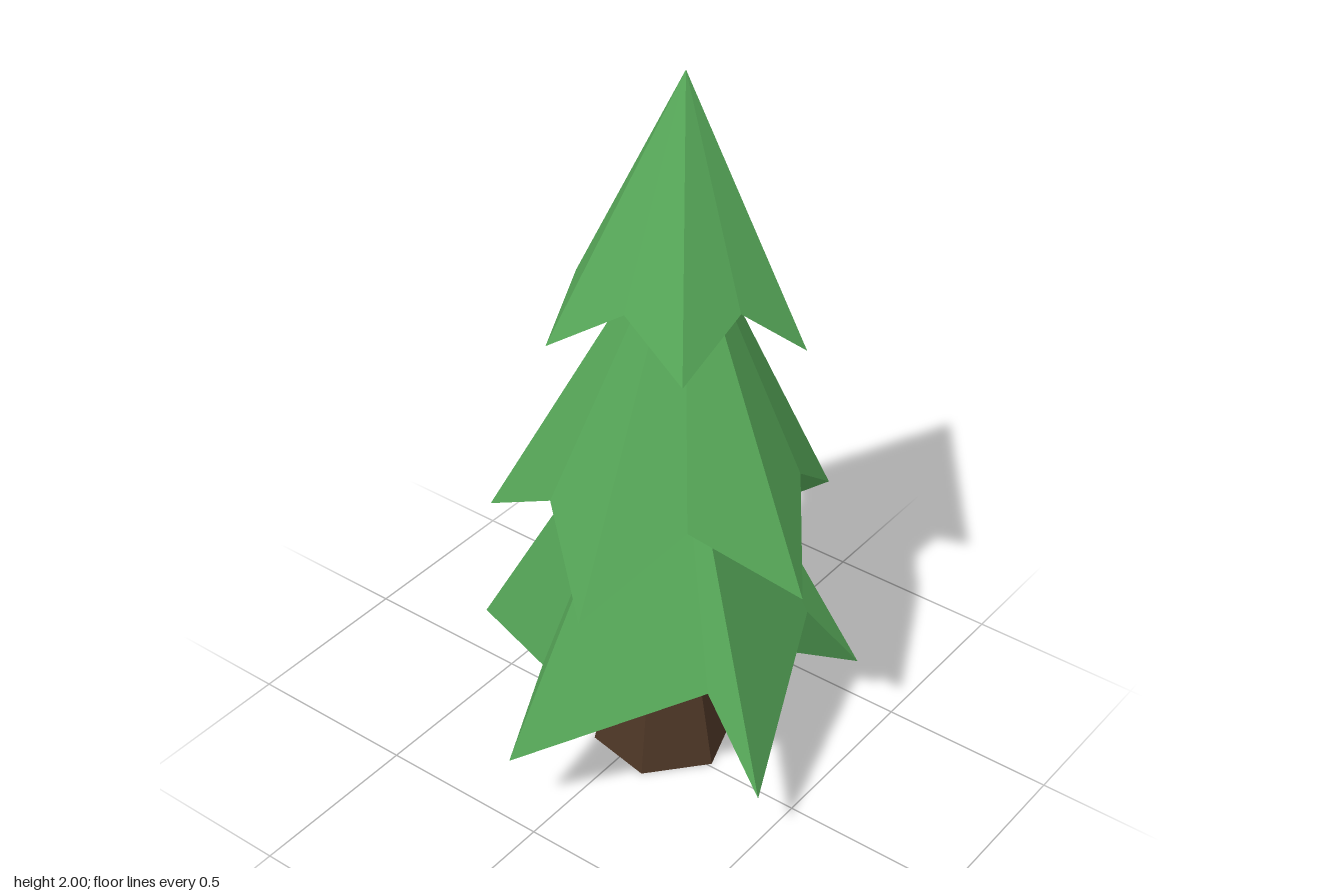
import * as THREE from 'three';

const green = new THREE.MeshStandardMaterial({ color: 0x55a557, flatShading: true });
const brown = new THREE.MeshStandardMaterial({ color: 0x4d3626, flatShading: true });

// Underside patterns over a rim of ten corners (even = tip, odd = notch)
const fanned = [[1, 2, 3], [3, 4, 5], [5, 6, 7], [7, 8, 9], [0, 1, 3], [0, 3, 5], [0, 5, 7], [0, 7, 9]];
const split = [[1, 2, 3], [0, 1, 3], [0, 3, 4], [0, 4, 9], [5, 6, 7], [7, 8, 9], [4, 5, 7], [4, 7, 9]];

// Each tier: an apex over a rim that alternates tips and notches, counterclockwise from above
const tiers = [
  {
    name: 'lowerFoliage', apex: [0.09, 1.28, 0.02], underside: split,
    rim: [
      [0.445, 0.18, 0.41], [0.43, 0.42, -0.1],
      [0.52, 0.24, -0.25], [0.05, 0.44, -0.375],
      [-0.065, 0.23, -0.53], [-0.325, 0.42, -0.1],
      [-0.525, 0.245, -0.055], [-0.18, 0.45, 0.34],
      [-0.21, 0.21, 0.53], [0.28, 0.43, 0.34],
    ],
  },
  {
    name: 'middleFoliage', apex: [0.13, 1.67, 0.02], underside: fanned,
    rim: [
      [0.505, 0.7, 0.245], [0.41, 0.89, -0.045],
      [0.41, 0.67, -0.325], [0.12, 0.9, -0.33],
      [-0.17, 0.73, -0.4], [-0.24, 0.9, -0.13],
      [-0.425, 0.73, 0.11], [-0.17, 0.93, 0.26],
      [-0.01, 0.74, 0.51], [0.23, 0.92, 0.33],
    ],
  },
  {
    name: 'topFoliage', apex: [0.175, 2, -0.015], underside: fanned,
    rim: [
      [0.435, 1.27, -0.01], [0.28, 1.43, -0.14],
      [0.17, 1.32, -0.315], [-0.02, 1.46, -0.21],
      [-0.2, 1.34, -0.165], [-0.13, 1.47, 0.03],
      [-0.17, 1.36, 0.24], [0.055, 1.465, 0.25],
      [0.22, 1.31, 0.34], [0.315, 1.44, 0.13],
    ],
  },
];

function makeTier({ name, apex, rim, underside }) {
  const points = [];
  rim.forEach((p, i) => points.push(apex, p, rim[(i + 1) % rim.length]));
  for (const [a, b, c] of underside) points.push(rim[c], rim[b], rim[a]);
  const geometry = new THREE.BufferGeometry();
  geometry.setAttribute('position', new THREE.Float32BufferAttribute(points.flat(), 3));
  geometry.computeVertexNormals();
  const mesh = new THREE.Mesh(geometry, green);
  mesh.name = name;
  return mesh;
}

export function createModel() {
  const tree = new THREE.Group();
  tree.name = 'pineTree';

  // Tapered six-sided trunk
  const trunk = new THREE.Mesh(new THREE.CylinderGeometry(0.09, 0.2, 0.55, 6, 1, false, -0.19), brown);
  trunk.name = 'trunk';
  trunk.position.set(0.048, 0.275, 0.025);
  tree.add(trunk);

  // Three jagged foliage tiers
  for (const tier of tiers) tree.add(makeTier(tier));
  return tree;
}
